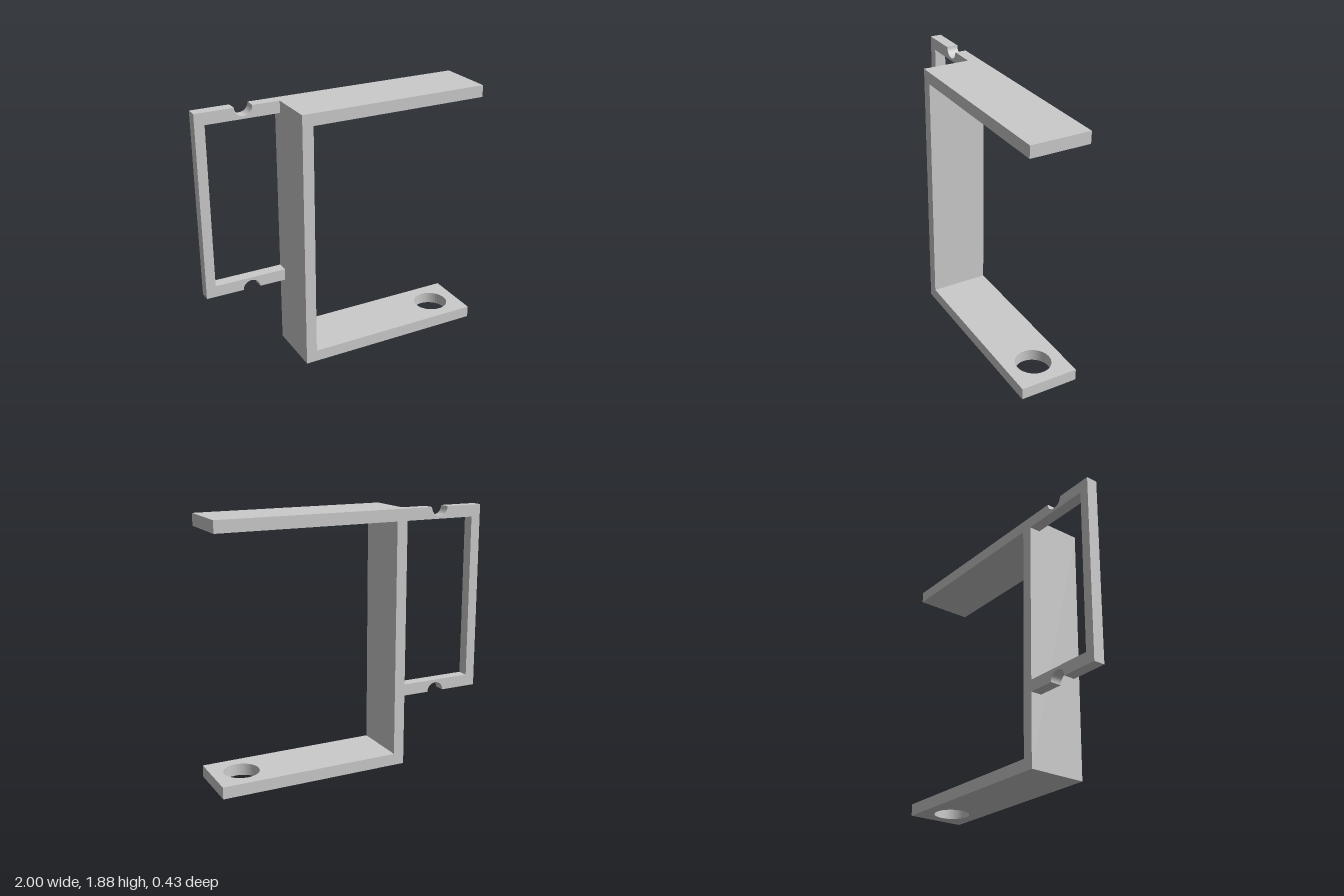
import * as THREE from 'three';

const HALF = 0.2125;      // half the bracket depth
const TOP = 1.875;        // overall height
const WALL_X = -0.4;      // outer face of the upright
const WALL_IN = -0.32;    // inner face of the upright
const material = new THREE.MeshStandardMaterial({ color: 0xcccccc, flatShading: true });

function extrude(name, shape, depth, curveSegments) {
  const geometry = new THREE.ExtrudeGeometry(shape, { depth, bevelEnabled: false, curveSegments });
  const mesh = new THREE.Mesh(geometry, material);
  mesh.name = name;
  return mesh;
}

const polygon = (points) => new THREE.Shape(points.map(([x, y]) => new THREE.Vector2(x, y)));

export function createModel() {
  const group = new THREE.Group();
  group.name = 'bracket';

  // Upright wall and top arm in one profile
  const arm = extrude('uprightAndTopArm', polygon([
    [WALL_X, 0], [WALL_IN, 0], [WALL_IN, 1.79], [1, 1.79], [1, TOP], [WALL_X, TOP],
  ]), HALF * 2, 1);
  arm.position.z = -HALF;
  group.add(arm);

  // Bottom arm with a round hole, drawn flat and laid down
  const plate = polygon([[WALL_IN, -HALF], [1, -HALF], [1, HALF], [WALL_IN, HALF]]);
  const hole = new THREE.Path();
  hole.absarc(0.787, 0, 0.127, 0, Math.PI * 2, true);
  plate.holes.push(hole);
  const bottomArm = extrude('bottomArm', plate, 0.086, 24);
  bottomArm.rotation.x = -Math.PI / 2;
  group.add(bottomArm);

  // Thin side frame at the back, notched on its top and bottom edges
  const notchX = -0.66, notchR = 0.064, low = 0.524;
  const frame = new THREE.Shape();
  frame.moveTo(-1, low);
  frame.lineTo(notchX - notchR, low);
  frame.absarc(notchX, low, notchR, Math.PI, 0, true);
  frame.lineTo(WALL_X, low);
  frame.lineTo(WALL_X, 0.609);
  frame.lineTo(-0.93, 0.609);
  frame.lineTo(-0.93, 1.79);
  frame.lineTo(WALL_X, 1.79);
  frame.lineTo(WALL_X, TOP);
  frame.lineTo(notchX + notchR, TOP);
  frame.absarc(notchX, TOP, notchR, 0, Math.PI, true);
  frame.lineTo(-1, TOP);
  frame.closePath();
  const sideFrame = extrude('sideFrame', frame, 0.083, 12);
  sideFrame.position.z = -HALF;
  group.add(sideFrame);

  return group;
}
